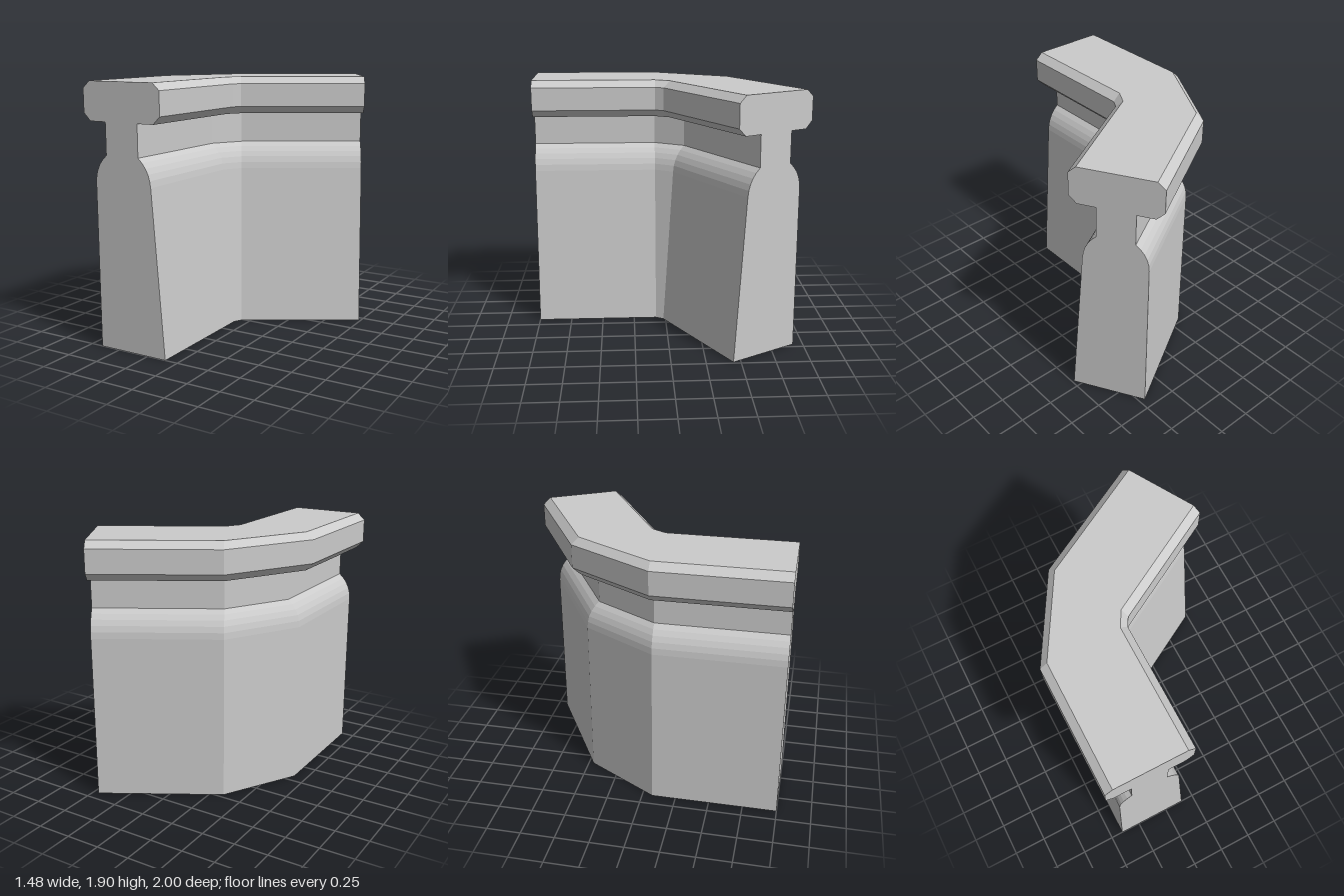
import * as THREE from 'three';

// Centre of the corner turn and length of each straight run
const CX = -0.033, CZ = 0.075, RUN = 0.925, TURN = Math.PI / 3;

// Places a profile point (x, y) on a station: turned about the corner, then moved along the run
function place(p, angle, along) {
  const r = CX - p.x, c = Math.cos(angle), s = Math.sin(angle);
  return [CX - r * c + along * s, p.y, CZ - r * s - along * c];
}

// Sweeps an anticlockwise profile round the corner; its closing edge stays open where parts join
function sweep(name, profile) {
  const stations = [[0, -RUN], [0, 0], [TURN, 0], [TURN, RUN]];
  const rings = stations.map(([angle, along]) => profile.map((p) => place(p, angle, along)));
  const pos = [];
  const tri = (a, b, c) => pos.push(...a, ...b, ...c);
  for (let s = 0; s < rings.length - 1; s++) {
    for (let i = 0; i < profile.length - 1; i++) {
      const a = rings[s][i], b = rings[s][i + 1], c = rings[s + 1][i + 1], d = rings[s + 1][i];
      tri(a, d, c);
      tri(a, c, b);
    }
  }
  // end faces
  const last = rings[rings.length - 1];
  for (const [i, j, k] of THREE.ShapeUtils.triangulateShape(profile, [])) {
    tri(rings[0][i], rings[0][j], rings[0][k]);
    tri(last[i], last[k], last[j]);
  }
  const geometry = new THREE.BufferGeometry();
  geometry.setAttribute('position', new THREE.Float32BufferAttribute(pos, 3));
  geometry.computeVertexNormals();
  const material = new THREE.MeshStandardMaterial({ color: 0xcccccc, flatShading: true });
  const mesh = new THREE.Mesh(geometry, material);
  mesh.name = name;
  return mesh;
}

const v = (x, y) => new THREE.Vector2(x, y);
const curve = (a, b, c) => new THREE.QuadraticBezierCurve(a, b, c).getPoints(5);

export function createModel() {
  const group = new THREE.Group();
  group.name = 'cornerParapet';

  // Wall: upright outer face, sloping inner face, rounded shoulders and a narrow neck
  group.add(sweep('wall', [
    v(-0.56, 1.625),
    ...curve(v(-0.56, 1.395), v(-0.655, 1.32), v(-0.655, 1.2)),
    v(-0.655, 0), v(-0.1, 0),
    ...curve(v(-0.19, 1.2), v(-0.199, 1.32), v(-0.29, 1.395)),
    v(-0.29, 1.625),
  ]));

  // Coping: chamfered slab resting on the neck
  group.add(sweep('coping', [
    v(-0.29, 1.625), v(-0.16, 1.625), v(-0.105, 1.68), v(-0.105, 1.85), v(-0.16, 1.9),
    v(-0.69, 1.9), v(-0.745, 1.85), v(-0.745, 1.68), v(-0.69, 1.625), v(-0.56, 1.625),
  ]));

  return group;
}
